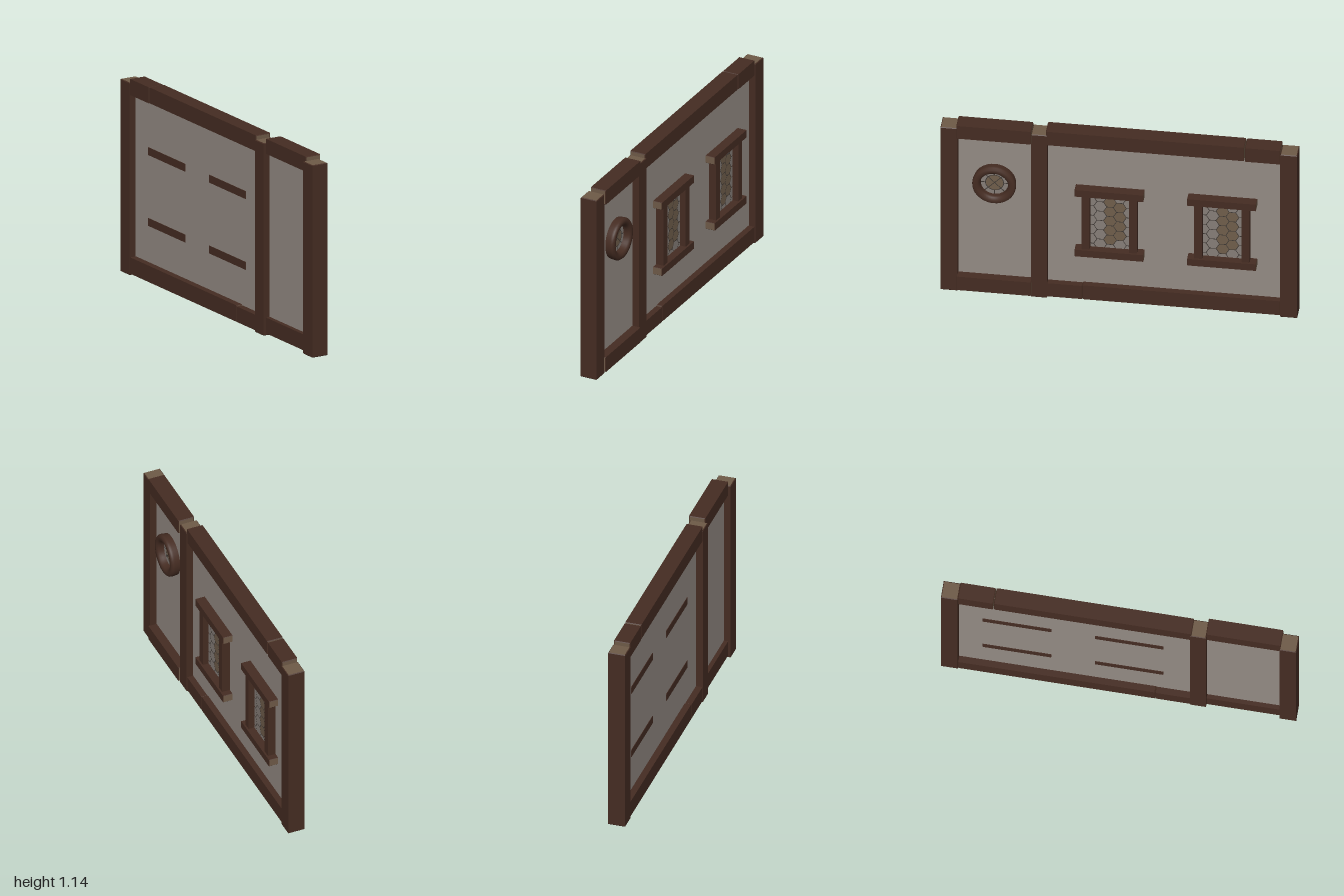
import * as THREE from 'three';

const mat = (name, color) => {
  const m = new THREE.MeshStandardMaterial({ color });
  m.name = name;
  return m;
};

export function createModel() {
  const wood = mat('darkWood', 0x452c22);
  const endGrain = mat('endGrain', 0x6e5a47);
  const plaster = mat('plaster', 0x938a83);
  const lead = mat('lead', 0x3d3733);
  const greyGlass = mat('greyGlass', 0x857d77);
  const tanGlass = mat('tanGlass', 0x6f5d4b);

  const model = new THREE.Group();
  model.name = 'timberWall';

  const add = (parent, name, geometry, material, x = 0, y = 0, z = 0) => {
    const mesh = new THREE.Mesh(geometry, material);
    mesh.name = name;
    mesh.position.set(x, y, z);
    parent.add(mesh);
    return mesh;
  };

  // Chamfered timber with pale end grain; its length runs along z, or up y if upright
  const timber = (parent, name, [x0, x1], [y0, y1], [z0, z1], upright = false, b = 0.004) => {
    const w = x1 - x0;
    const h = upright ? z1 - z0 : y1 - y0;
    const length = upright ? y1 - y0 : z1 - z0;
    const u = w / 2 - b, v = h / 2 - b;
    const section = new THREE.Shape([
      new THREE.Vector2(-u, -v), new THREE.Vector2(u, -v),
      new THREE.Vector2(u, v), new THREE.Vector2(-u, v),
    ]);
    const geometry = new THREE.ExtrudeGeometry(section, {
      depth: length - 2 * b, bevelEnabled: true, bevelSize: b, bevelThickness: b, bevelSegments: 1,
    });
    geometry.center();
    if (upright) geometry.rotateX(-Math.PI / 2);
    return add(parent, name, geometry, [endGrain, wood], (x0 + x1) / 2, (y0 + y1) / 2, (z0 + z1) / 2);
  };

  // Upright posts
  const postX = [-0.06, 0.04];
  timber(model, 'frontPost', postX, [0, 1.115], [0.905, 1], true);
  timber(model, 'middlePost', postX, [0, 1.115], [0.402, 0.492], true);
  timber(model, 'rearPost', postX, [0, 1.115], [-1, -0.905], true);

  // Top and bottom beams; the narrow bay sits slightly further out
  const bayX = [-0.045, 0.05], mainX = [-0.058, 0.036];
  timber(model, 'bayTopBeam', bayX, [1.053, 1.14], [0.49, 0.91]);
  timber(model, 'bayBottomBeam', bayX, [0.013, 0.105], [0.49, 0.91]);
  timber(model, 'mainTopBeam', mainX, [1.048, 1.14], [-0.702, 0.41]);
  timber(model, 'shortTopBeam', mainX, [1.045, 1.138], [-0.905, -0.706]);
  timber(model, 'shortBottomBeam', mainX, [0.01, 0.1], [0.205, 0.41]);
  timber(model, 'mainBottomBeam', mainX, [0.01, 0.105], [-0.905, 0.205]);

  // Plaster infill
  const wallX = -0.01;
  add(model, 'bayPanel', new THREE.BoxGeometry(0.02, 1.0, 0.43), plaster, wallX, 0.575, 0.7);
  add(model, 'mainPanel', new THREE.BoxGeometry(0.02, 1.0, 1.33), plaster, wallX, 0.575, -0.25);

  // Flat pane facing +x
  const pane = (parent, name, geometry, material, x, y = 0, z = 0) =>
    add(parent, name, geometry.rotateY(Math.PI / 2), material, x, y, z);

  // Leaded rectangular windows
  const makeWindow = (z) => {
    const win = new THREE.Group();
    win.name = 'window';
    win.position.set(0, 0.5425, z);
    model.add(win);
    for (const s of [-1, 1]) {
      const y = s * 0.205;
      timber(win, 'windowRail', [-0.023, 0.056], [y - 0.0225, y + 0.0225], [-0.193, 0.193], false, 0.002);
      const c = s * 0.133;
      timber(win, 'windowStile', [-0.015, 0.046], [-0.19, 0.19], [c - 0.0225, c + 0.0225], true, 0.002);
    }
    add(win, 'leadBacking', new THREE.BoxGeometry(0.008, 0.38, 0.24), lead, 0.004);
    // Honeycomb panes, with their outer edges buried in the frame
    for (let k = -2; k <= 2; k++) {
      for (let j = -4; j <= 4; j++) {
        const y = j * 0.064 + (k % 2 ? 0.032 : 0);
        if (Math.abs(y) > 0.195) continue;
        const tan = (k === 0 || k === -1) && Math.abs(y) < 0.14;
        pane(win, 'hexPane', new THREE.CircleGeometry(0.0345, 6),
          tan ? tanGlass : greyGlass, 0.011, y, k * 0.055);
      }
    }
  };
  makeWindow(0.053);
  makeWindow(-0.578);

  // Round window
  const round = new THREE.Group();
  round.name = 'roundWindow';
  round.position.set(0, 0.745, 0.7);
  model.add(round);
  const profile = [
    [0.119, -0.005], [0.123, 0.03], [0.121, 0.042], [0.113, 0.052],
    [0.094, 0.052], [0.082, 0.043], [0.078, 0.03], [0.078, -0.005],
  ].map(([r, h]) => new THREE.Vector2(r, h));
  add(round, 'roundFrame', new THREE.LatheGeometry(profile, 40), wood).rotation.z = -Math.PI / 2;
  pane(round, 'roundBacking', new THREE.CircleGeometry(0.085, 32), lead, 0.008);
  for (let i = 0; i < 8; i++) {
    const a = (i * Math.PI) / 4 + 0.04;
    pane(round, 'outerPane', new THREE.RingGeometry(0.053, 0.077, 4, 1, a, Math.PI / 4 - 0.08), greyGlass, 0.012);
  }
  for (let i = 0; i < 4; i++) {
    const a = Math.PI / 4 + (i * Math.PI) / 2;
    const mid = a + Math.PI / 4;
    pane(round, 'centrePane', new THREE.CircleGeometry(0.046, 6, a, Math.PI / 2), tanGlass,
      0.012, Math.sin(mid) * 0.003, -Math.cos(mid) * 0.003);
  }

  return model;
}
